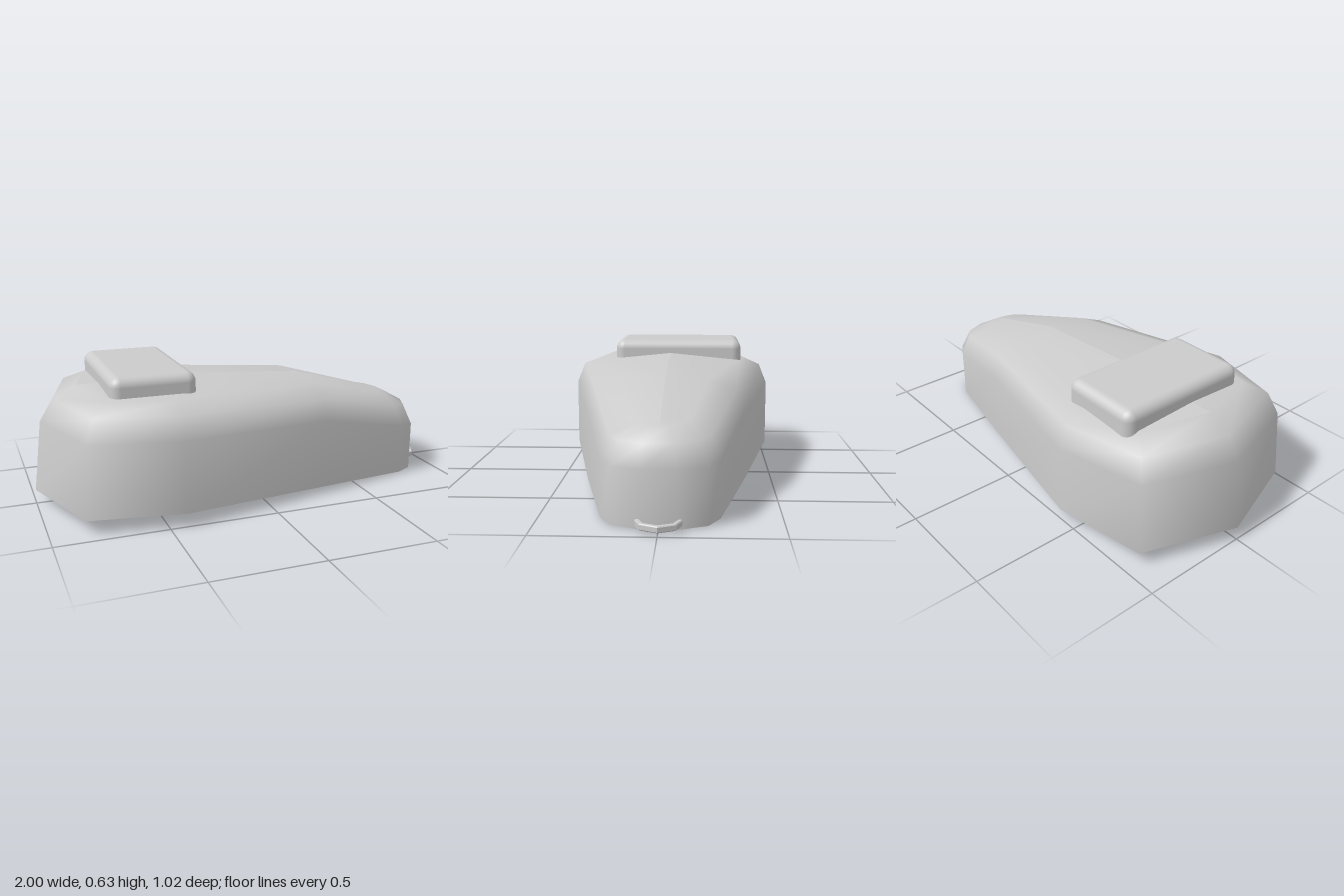
import * as THREE from 'three';
import { RoundedBoxGeometry } from 'three/addons/geometries/RoundedBoxGeometry.js';

const material = new THREE.MeshStandardMaterial({ color: 0xcccccc });

// Half outlines [x, y, z] from the tail to the nose, one per level
const base = [[-1, 0.065, 0], [-0.85, 0.065, 0.435], [-0.42, 0.065, 0.51], [0.3, 0.035, 0.36],
  [0.78, 0.006, 0.245], [0.865, 0.003, 0.195], [0.91, 0, 0.075]];
const wall = [[-0.96, 0.39, 0], [-0.83, 0.39, 0.415], [-0.42, 0.39, 0.51], [0.3, 0.36, 0.36],
  [0.78, 0.25, 0.245], [0.865, 0.24, 0.195], [0.91, 0.24, 0.075]];
const shoulder = [[-0.9, 0.49, 0], [-0.79, 0.49, 0.38], [-0.42, 0.49, 0.47], [0.3, 0.455, 0.32],
  [0.76, 0.345, 0.205], [0.83, 0.34, 0.16], [0.875, 0.335, 0.06]];
const rim = [[-0.79, 0.545, 0], [-0.7, 0.535, 0.31], [-0.41, 0.53, 0.37], [0.3, 0.505, 0.2],
  [0.7, 0.4, 0.12], [0.75, 0.393, 0.09], [0.78, 0.388, 0.035]];
const spine = [[-0.79, 0.545, 0], [-0.69, 0.549, 0], [-0.3, 0.56, 0], [0.3, 0.52, 0],
  [0.7, 0.412, 0], [0.75, 0.398, 0], [0.78, 0.388, 0]];

// Mirrors a half outline into a closed loop
function mirrorLoop(half) {
  const back = half.slice(1).reverse().map(([x, y, z]) => [x, y, -z]);
  return [...half, ...back];
}

// Skins a stack of closed loops, each with the same number of points
function skin(loops) {
  const n = loops[0].length;
  const index = [];
  for (let k = 0; k < loops.length - 1; k++) {
    for (let i = 0; i < n; i++) {
      const a = k * n + i, b = k * n + (i + 1) % n;
      index.push(a, b, b + n, a, b + n, a + n);
    }
  }
  const geometry = new THREE.BufferGeometry();
  geometry.setAttribute('position', new THREE.Float32BufferAttribute(loops.flat(2), 3));
  geometry.setIndex(index);
  geometry.computeVertexNormals();
  return geometry;
}

function add(group, name, geometry) {
  const mesh = new THREE.Mesh(geometry, material);
  mesh.name = name;
  group.add(mesh);
  return mesh;
}

export function createModel() {
  const group = new THREE.Group();
  group.name = 'model';

  // Smooth tapering shell, closed along a raised spine
  add(group, 'shell', skin([base, wall, shoulder, rim, spine].map(mirrorLoop)));

  // Flat underside
  const keel = base.map(([x, y]) => [x, y, 0]);
  add(group, 'underside', skin([keel, base].map(mirrorLoop)));

  // Rounded pad sunk into the top, slightly off centre
  const pad = add(group, 'topPad', new RoundedBoxGeometry(0.39, 0.2, 0.655, 3, 0.045));
  pad.position.set(-0.495, 0.527, -0.04);

  // Flat loop at the foot of the nose
  const outer = [[0.88, 0.095], [0.915, 0.093], [0.965, 0.072], [1, 0]];
  const inner = [[0.88, 0.075], [0.91, 0.073], [0.95, 0.055], [0.975, 0]];
  const half = (p) => [...p, ...p.slice(0, -1).reverse().map(([x, z]) => [x, -z])];
  const outline = [...half(outer), ...half(inner).reverse()];
  const shape = new THREE.Shape(outline.map(([x, z]) => new THREE.Vector2(x, z)));
  const loopGeometry = new THREE.ExtrudeGeometry(shape, {
    depth: 0.019, bevelThickness: 0.004, bevelSize: 0.004, bevelOffset: -0.004, bevelSegments: 1,
  });
  const loop = add(group, 'noseLoop', loopGeometry);
  loop.rotation.x = -Math.PI / 2;
  loop.position.y = 0.018;

  return group;
}
